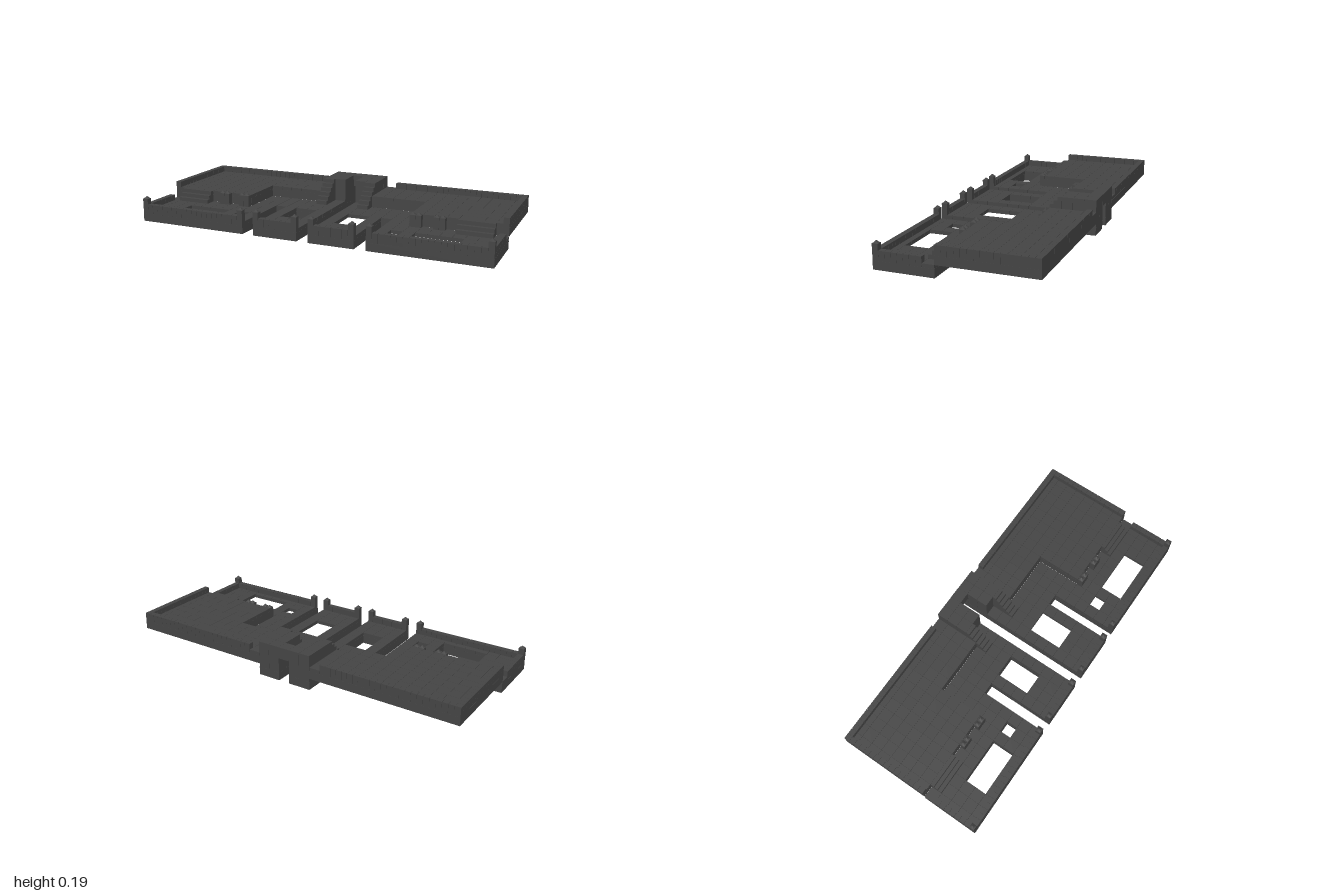
import * as THREE from 'three';
import { mergeGeometries } from 'three/addons/utils/BufferGeometryUtils.js';

// Everything sits on a grid of 31 x 13 square tiles.
const U = 2 / 31;
const GAP = 0.0012;
const LIP = 0.7; // height of the masonry under the paving, in tiles

export function createModel() {
  const model = new THREE.Group();
  const stone = new THREE.MeshStandardMaterial({ color: 0x444444 });
  stone.name = 'darkStone';

  function add(name, geometries) {
    const mesh = new THREE.Mesh(mergeGeometries(geometries.map(g => (g.index ? g.toNonIndexed() : g))), stone);
    mesh.name = name;
    model.add(mesh);
  }

  // Box between tile coordinates: x from the middle, k from the back, y up.
  function block(x0, x1, y0, y1, k0, k1, gap = 0) {
    const g = new THREE.BoxGeometry(Math.abs(x1 - x0) * U - gap, (y1 - y0) * U, (k1 - k0) * U - gap);
    return g.translate((x0 + x1) / 2 * U, (y0 + y1) / 2 * U, ((k0 + k1) / 2 - 6.5) * U);
  }

  // Solid mass extruded upward from a plan outline with rectangular holes.
  function mass(s, outline, holes, y0, height) {
    const toPoint = ([x, k]) => new THREE.Vector2(s * x * U, -(k - 6.5) * U);
    const shape = new THREE.Shape(outline.map(toPoint));
    for (const [x0, x1, k0, k1] of holes) {
      shape.holes.push(new THREE.Path([[x0, k0], [x1, k0], [x1, k1], [x0, k1]].map(toPoint)));
    }
    const g = new THREE.ExtrudeGeometry(shape, { depth: height * U, bevelEnabled: false });
    return g.rotateX(-Math.PI / 2).translate(0, y0 * U, 0);
  }

  // Paving slabs over every tile accepted by the test.
  function paving(s, y0, y1, test) {
    const slabs = [];
    for (let i = 1; i <= 15; i++) {
      for (let k = 0; k < 13; k++) {
        if (test(i, k)) slabs.push(block(s * (i - 0.5), s * (i + 0.5), y0, y1, k, k + 1, GAP));
      }
    }
    return slabs;
  }

  // Half-tile parapet stones along x or along k.
  function parapetX(s, x0, x1, k, y) {
    const out = [];
    for (let x = x0; x < x1; x += 0.5) out.push(block(s * x, s * (x + 0.5), y, y + 0.5, k, k + 0.5, GAP));
    return out;
  }
  function parapetZ(s, k0, k1, y) {
    const out = [];
    for (let k = k0; k < k1; k += 0.5) out.push(block(s * 15, s * 15.5, y, y + 0.5, k, k + 0.5, GAP));
    return out;
  }

  // Descending flight with three treads per tile.
  function stairs(s, x0, x1, k, bottom, top, count) {
    const out = [];
    for (let j = 0; j < count; j++) {
      out.push(block(s * x0, s * x1, bottom, top - j / 3, k + j / 3, k + (j + 1) / 3));
    }
    return out;
  }

  // Square post with a pyramid cap.
  function post(s, x, y0, k) {
    const cap = new THREE.ConeGeometry(0.25 * U * Math.SQRT2 * 0.8, 0.22 * U, 4);
    cap.rotateY(Math.PI / 4).translate(s * (x + 0.25) * U, 2.11 * U, (k + 0.25 - 6.5) * U);
    return [block(s * x, s * (x + 0.5), y0, 2, k, k + 0.5, GAP), cap];
  }

  const lowerPlan = [[0.5, 0], [2.5, 0], [2.5, 4], [7.5, 4], [7.5, 8], [15.5, 8], [15.5, 13],
    [5.5, 13], [5.5, 7], [4.5, 7], [4.5, 13], [0.5, 13]];
  const upperPlan = [[2.5, 0], [15.5, 0], [15.5, 8], [7.5, 8], [7.5, 4], [2.5, 4]];
  const wells = [[1.5, 3.5, 7, 10], [8.5, 12.5, 10, 12], [6.5, 7.5, 10, 11]];

  const inWell = (i, k) => wells.some(([a, b, c, d]) => i > a && i < b && k >= c && k < d);
  const isLower = (i, k) => {
    const floor = k >= 8 || (k >= 4 && i <= 7) || i <= 2;
    return floor && !(i === 5 && k >= 7) && !inWell(i, k);
  };
  const isUpper = (i, k) => k < 8 && i >= 3 && (k < 4 || i >= 8);

  for (const s of [1, -1]) {
    const side = s > 0 ? 'left' : 'right';

    // Lower quay and its paving
    add(side + 'LowerBase', [mass(s, lowerPlan, wells, 0, LIP)]);
    add(side + 'LowerPaving', paving(s, LIP, 1, isLower));

    // Upper terrace and its paving
    add(side + 'UpperBase', [mass(s, upperPlan, [], 1, LIP)]);
    add(side + 'UpperPaving', paving(s, 1 + LIP, 2, isUpper));

    // Parapets
    add(side + 'UpperParapet', [...parapetX(s, 3.5, 15.5, 0, 2), ...parapetZ(s, 0.5, 8, 2)]);
    add(side + 'LowerParapet', [
      ...parapetX(s, 0.5, 4.5, 12.5, 1),
      ...parapetX(s, 5.5, 15.5, 12.5, 1),
      ...parapetZ(s, 9, 12.5, 1),
    ]);

    // Gate tower of stacked blocks beside the central channel
    const tower = [];
    for (let i = 1; i <= 2; i++) {
      for (let k = 0; k < 3; k++) {
        for (let y = 1; y < 3; y++) tower.push(block(s * (i - 0.5), s * (i + 0.5), y, y + 1, k, k + 1, GAP));
      }
    }
    add(side + 'GateTower', tower);

    // Stairs from the tower and from the terrace
    add(side + 'TowerStairs', stairs(s, 1.5, 2.5, 3, 1, 3, 6));
    add(side + 'TerraceStairs', stairs(s, 11.5, 14.5, 8, 1, 2, 3));

    // Posts on the front parapet and along the terrace wall
    add(side + 'ParapetPosts', [0.5, 4, 5.5, 15].flatMap(x => post(s, x, 1.5, 12.5)));
    add(side + 'TerracePosts', [7.5, 8, 9.5, 10].flatMap(x => post(s, x, 1, 8)));
  }

  // Bridge over the back end of the channel
  add('gateBridge', [block(-0.5, 0.5, 2, 3, 0, 1)]);

  return model;
}
